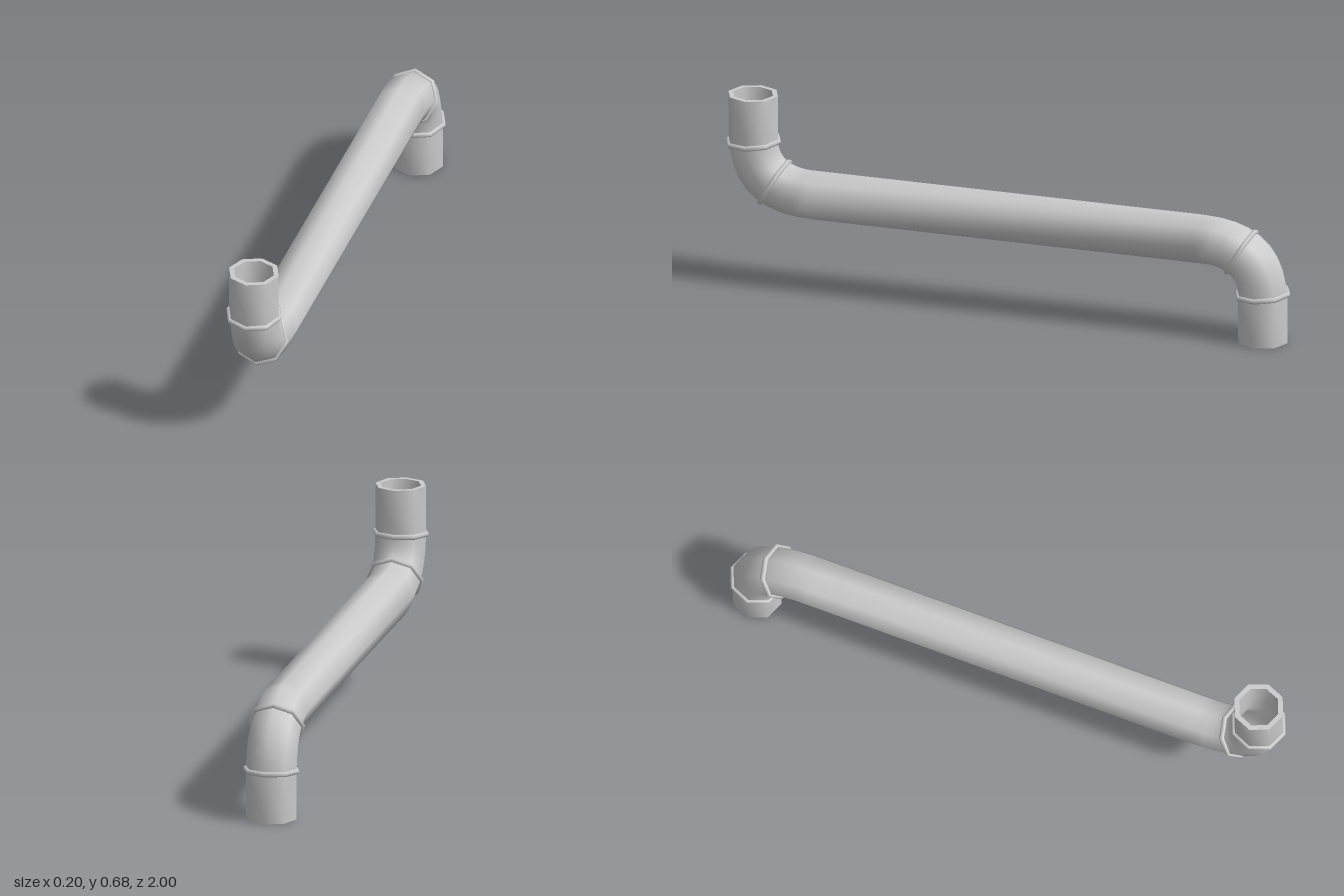
import * as THREE from 'three';

const SIDES = 8, OUTER = 0.0875, INNER = 0.07, MID = 0.3375;
const END_Z = 0.902;
const material = new THREE.MeshStandardMaterial({ color: 0xcccccc });

// Elbow centre line in the front half: vertical stub turning into the long run
const bend = new THREE.QuadraticBezierCurve3(
  new THREE.Vector3(0, 0.53, END_Z),
  new THREE.Vector3(0, MID, END_Z),
  new THREE.Vector3(0, MID, 0.69)
);

// Half-turn about the middle of the pipe gives the back half
const turn = (p) => new THREE.Vector3(0, 2 * MID - p.y, -p.z);

// Stations: centre and direction along the whole pipe
function pipeStations() {
  const half = [{ c: new THREE.Vector3(0, 2 * MID, END_Z), t: new THREE.Vector3(0, -1, 0) }];
  for (let i = 0; i <= 9; i++) {
    half.push({ c: bend.getPoint(i / 9), t: bend.getTangent(i / 9) });
  }
  const back = half.map(({ c, t }) => ({ c: turn(c), t: t.clone() })).reverse();
  return [...half, ...back];
}

// Skin octagonal sections, one radius per station
function sweep(stations, radii, inward = false) {
  const pos = [], index = [];
  stations.forEach(({ c, t }, i) => {
    for (let j = 0; j < SIDES; j++) {
      const a = (j / SIDES) * Math.PI * 2;
      const x = Math.cos(a) * radii[i], n = Math.sin(a) * radii[i];
      pos.push(x, c.y - t.z * n, c.z + t.y * n);
    }
  });
  for (let i = 0; i < stations.length - 1; i++) {
    for (let j = 0; j < SIDES; j++) {
      const k = (j + 1) % SIDES;
      const a = i * SIDES + j, b = a + SIDES;
      const d = i * SIDES + k, c = d + SIDES;
      if (inward) index.push(a, c, b, a, d, c);
      else index.push(a, b, c, a, c, d);
    }
  }
  const g = new THREE.BufferGeometry();
  g.setAttribute('position', new THREE.Float32BufferAttribute(pos, 3));
  g.setIndex(index);
  g.computeVertexNormals();
  return g;
}

export function createModel() {
  const group = new THREE.Group();
  group.name = 'pipe';
  const add = (geometry, name) => {
    const mesh = new THREE.Mesh(geometry, material);
    mesh.name = name;
    group.add(mesh);
    return mesh;
  };

  // Outer and inner walls
  const s = pipeStations();
  add(sweep(s, s.map(() => OUTER)), 'outerWall');
  add(sweep(s, s.map(() => INNER), true), 'innerWall');

  // Flat rims closing the wall thickness at both open ends
  const first = s[0], last = s[s.length - 1];
  add(sweep([first, first], [INNER, OUTER]), 'topRim');
  add(sweep([last, last], [OUTER, INNER]), 'bottomRim');

  // Joint collars at both sides of each elbow
  const collar = new THREE.TorusGeometry(0.0885, 0.0095, 6, SIDES);
  for (const u of [0.06, 0.6]) {
    // Bezier parameter, not arc length
    const p = bend.getPoint(u), t = bend.getTangent(u);
    for (const [name, c] of [['frontCollar', p], ['backCollar', turn(p)]]) {
      const mesh = add(collar, name);
      mesh.position.copy(c);
      mesh.rotation.x = Math.atan2(-t.y, t.z);
    }
  }
  return group;
}
